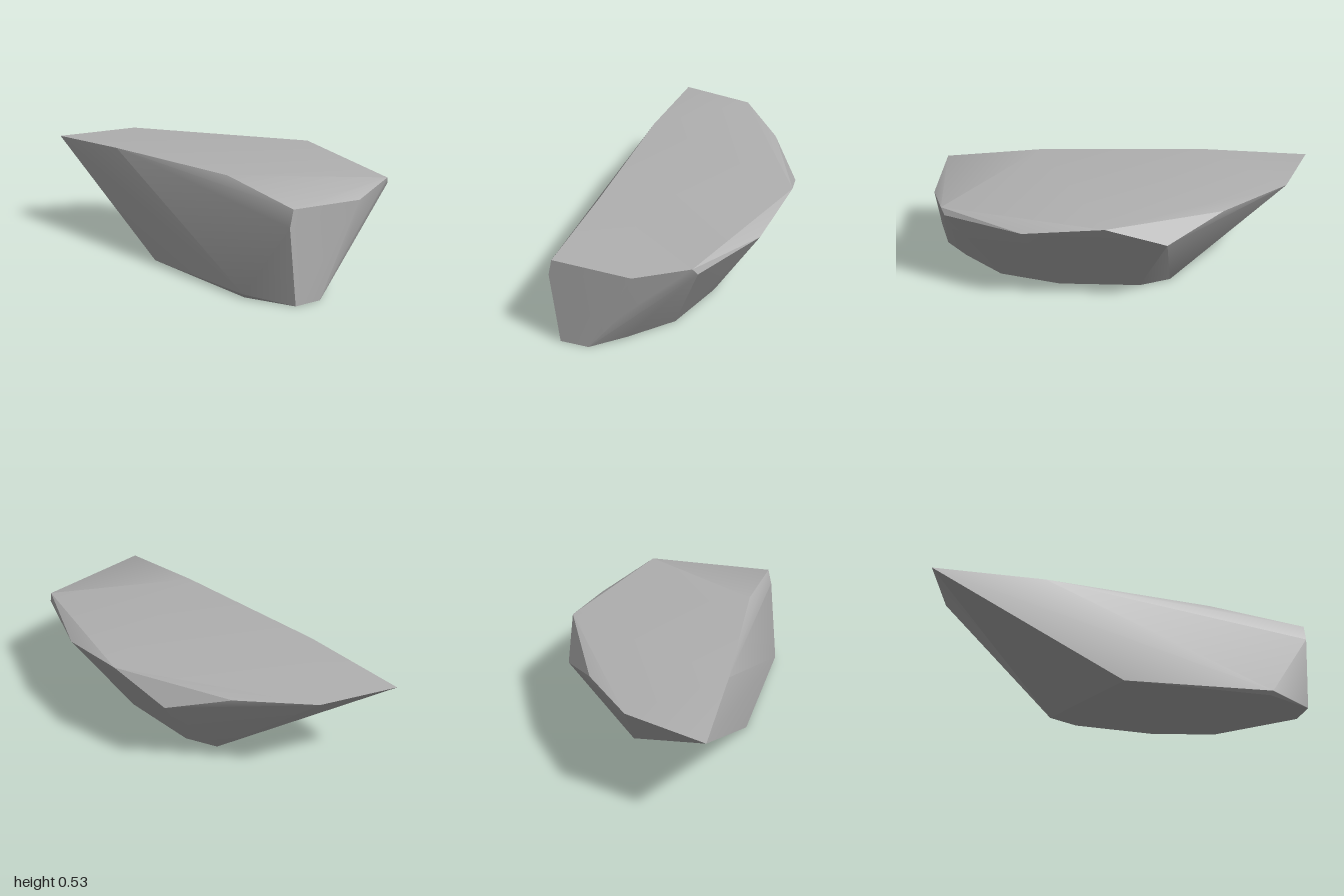
import * as THREE from 'three';
import { ConvexGeometry } from 'three/addons/geometries/ConvexGeometry.js';
import { toCreasedNormals } from 'three/addons/utils/BufferGeometryUtils.js';

export function createModel() {
  const group = new THREE.Group();
  group.name = 'rock';
  const stone = new THREE.MeshStandardMaterial({ color: 0xb0b0b0 });
  stone.name = 'stone grey';

  // Upper rim, clockwise from the pointed back corner
  const rim = [
    [-0.46, 0.51, -1], [-0.04, 0.53, -0.87], [0.23, 0.51, -0.54],
    [0.43, 0.41, -0.26], [0.5, 0.53, 0.05], [0.46, 0.47, 0.47],
    [0.29, 0.47, 0.89], [0.27, 0.505, 0.91], [0, 0.45, 1],
    [-0.41, 0.465, 1], [-0.39, 0.53, 0.48], [-0.45, 0.53, -0.42],
  ];
  // Chips on the front face
  const chips = [[-0.43, 0.38, 1], [-0.06, 0.22, 0.985]];
  // Smaller footprint, set towards the front
  const foot = [
    [0.08, 0, -0.27], [0.16, 0.005, -0.11], [0.17, 0.005, 0.32],
    [0.08, 0, 0.65], [-0.09, 0.01, 0.87], [-0.24, 0, 1],
    [-0.39, 0, 1], [-0.495, 0, 0.75], [-0.51, 0.02, 0.76], [-0.48, 0, -0.02],
  ];

  const points = [...rim, ...chips, ...foot].map((p) => new THREE.Vector3(...p));
  const body = new THREE.Mesh(toCreasedNormals(new ConvexGeometry(points), 0.52), stone);
  body.name = 'rockBody';
  group.add(body);
  return group;
}
